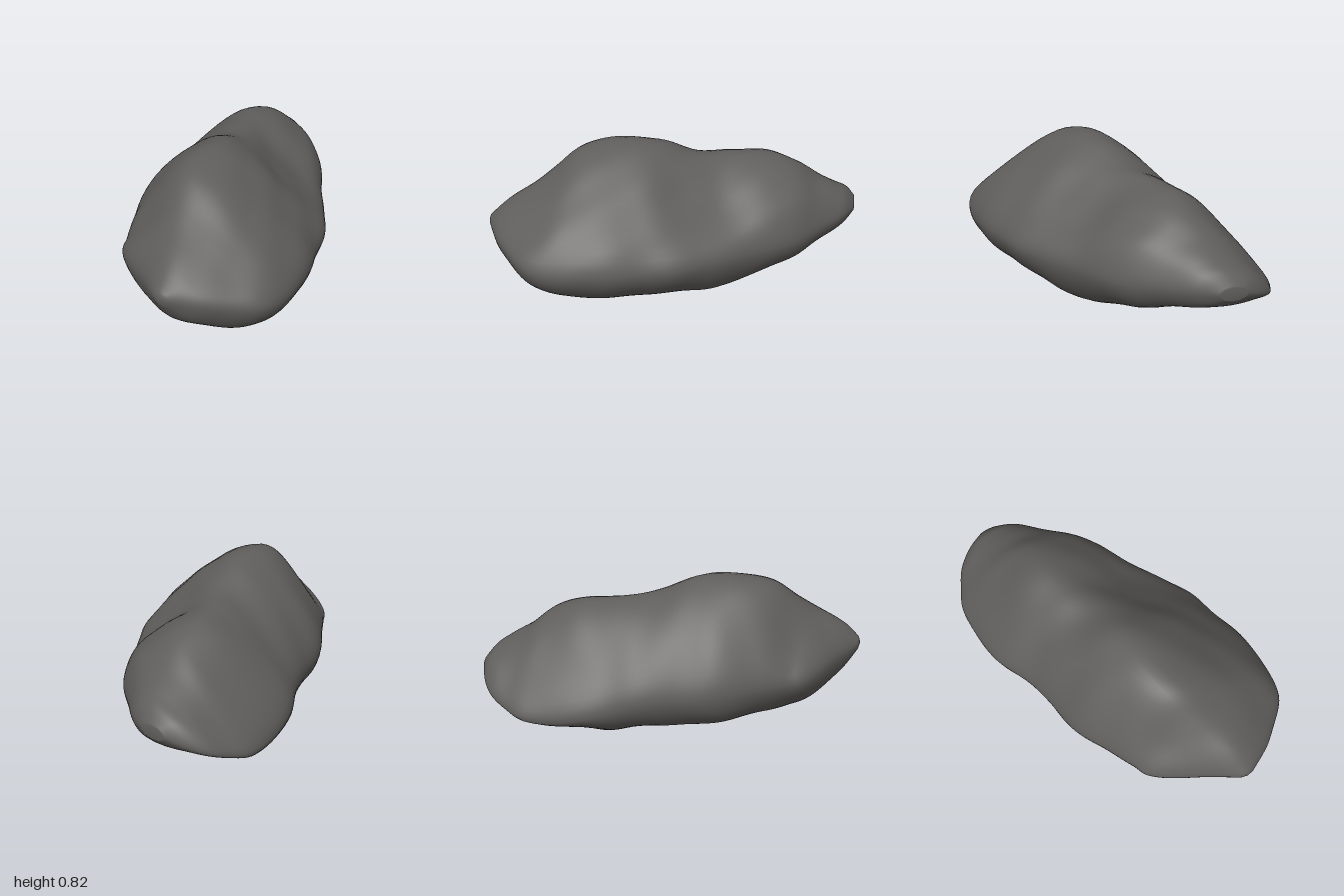
import * as THREE from 'three';

// Cross-sections from back to front:
// z, left x/y, right x/y, ridge x/y, underside x/y
const SECTIONS = [
  [-1.0, -0.42, 0.33, -0.28, 0.34, -0.35, 0.37, -0.35, 0.30],
  [-0.95, -0.52, 0.29, -0.18, 0.34, -0.32, 0.43, -0.33, 0.25],
  [-0.88, -0.60, 0.25, -0.09, 0.33, -0.29, 0.47, -0.31, 0.215],
  [-0.78, -0.65, 0.21, 0.03, 0.32, -0.26, 0.53, -0.28, 0.18],
  [-0.66, -0.69, 0.18, 0.16, 0.31, -0.23, 0.62, -0.24, 0.13],
  [-0.48, -0.685, 0.18, 0.28, 0.31, -0.20, 0.695, -0.18, 0.06],
  [-0.28, -0.65, 0.22, 0.41, 0.31, -0.15, 0.70, -0.11, 0.0],
  [-0.1, -0.56, 0.26, 0.53, 0.31, -0.06, 0.72, -0.05, 0.02],
  [0.1, -0.49, 0.28, 0.60, 0.31, 0.0, 0.80, 0.05, 0.035],
  [0.3, -0.455, 0.31, 0.665, 0.31, 0.01, 0.82, 0.14, 0.04],
  [0.5, -0.34, 0.32, 0.69, 0.31, 0.06, 0.78, 0.20, 0.06],
  [0.65, -0.25, 0.33, 0.68, 0.32, 0.13, 0.67, 0.21, 0.09],
  [0.76, -0.18, 0.34, 0.61, 0.34, 0.19, 0.59, 0.23, 0.13],
  [0.9, 0.08, 0.37, 0.46, 0.37, 0.25, 0.50, 0.26, 0.22],
  [0.99, 0.23, 0.39, 0.31, 0.39, 0.27, 0.42, 0.27, 0.35],
];

// Roundness of the four shoulders at every second section (0.5 is a straight slope):
// upper right, upper left, lower left, lower right
const SHOULDERS = [
  [0.70, 0.70, 0.70, 0.70],
  [0.70, 0.66, 0.66, 0.74],
  [0.69, 0.59, 0.60, 0.76],
  [0.56, 0.61, 0.70, 0.75],
  [0.59, 0.62, 0.79, 0.75],
  [0.61, 0.59, 0.76, 0.76],
  [0.59, 0.58, 0.73, 0.74],
  [0.70, 0.70, 0.70, 0.70],
];
const RINGS = 84, SIDES = 64;

// Smooth interpolation between neighbouring rows, u from 0 to 1
function sample(table, u) {
  const last = table.length - 1, t = u * last;
  const i = Math.min(Math.floor(t), last - 1), f = t - i;
  const row = (k) => table[THREE.MathUtils.clamp(k, 0, last)];
  return row(i).map((p1, c) => {
    const p0 = row(i - 1)[c], p2 = row(i + 1)[c], p3 = row(i + 2)[c];
    return p1 + 0.5 * f * (p2 - p0 + f * (2 * p0 - 5 * p1 + 4 * p2 - p3 + f * (3 * (p1 - p2) + p3 - p0)));
  });
}

// Broad, shallow weathering on the stone
function weather({ x, y, z }) {
  const fade = Math.min(1, (1 - Math.abs(z)) * 6);
  return fade * (0.005 * Math.sin(9 * x + 4 * z + 1) * Math.sin(8 * y - 5 * z)
    + 0.004 * Math.sin(17 * z + 9 * y) * Math.cos(15 * x - 6 * y));
}

// Closed outline through right, ridge, left, underside and the shoulders between
function outline(u) {
  const [z, xl, yl, xr, yr, xt, yt, xb, yb] = sample(SECTIONS, u);
  const [ur, ul, ll, lr] = sample(SHOULDERS, u);
  const shoulder = (sx, sy, px, py, k) =>
    new THREE.Vector3(px + (sx - px) * k, sy + (py - sy) * k, z);
  return new THREE.CatmullRomCurve3([
    new THREE.Vector3(xr, yr, z), shoulder(xr, yr, xt, yt, ur),
    new THREE.Vector3(xt, yt, z), shoulder(xl, yl, xt, yt, ul),
    new THREE.Vector3(xl, yl, z), shoulder(xl, yl, xb, yb, ll),
    new THREE.Vector3(xb, yb, z), shoulder(xr, yr, xb, yb, lr),
  ], true, 'centripetal');
}

function rockGeometry() {
  const pos = [], index = [];
  for (let i = 0; i <= RINGS; i++) {
    const curve = outline(i / RINGS);
    for (let j = 0; j < SIDES; j++) {
      const angle = (j / SIDES) * Math.PI * 2;
      const p = curve.getPoint(j / SIDES), k = weather(p);
      pos.push(p.x + Math.cos(angle) * k, p.y + Math.sin(angle) * k, p.z);
    }
  }
  for (let i = 0; i < RINGS; i++) {
    for (let j = 0; j < SIDES; j++) {
      const a = i * SIDES + j, b = i * SIDES + (j + 1) % SIDES;
      index.push(a, b, a + SIDES, b, b + SIDES, a + SIDES);
    }
  }
  // Close both tips
  const back = pos.length / 3, front = back + 1, lastRing = RINGS * SIDES;
  pos.push(-0.35, 0.335, -1.0, 0.27, 0.39, 1.0);
  for (let j = 0; j < SIDES; j++) {
    const k = (j + 1) % SIDES;
    index.push(back, k, j, front, lastRing + j, lastRing + k);
  }
  const geometry = new THREE.BufferGeometry();
  geometry.setAttribute('position', new THREE.Float32BufferAttribute(pos, 3));
  geometry.setIndex(index);
  geometry.computeVertexNormals();
  return geometry;
}

export function createModel() {
  const group = new THREE.Group();
  group.name = 'rock';
  const boulder = new THREE.Mesh(rockGeometry(), new THREE.MeshStandardMaterial({ color: 0x605e5c }));
  boulder.name = 'boulder';
  group.add(boulder);
  return group;
}
